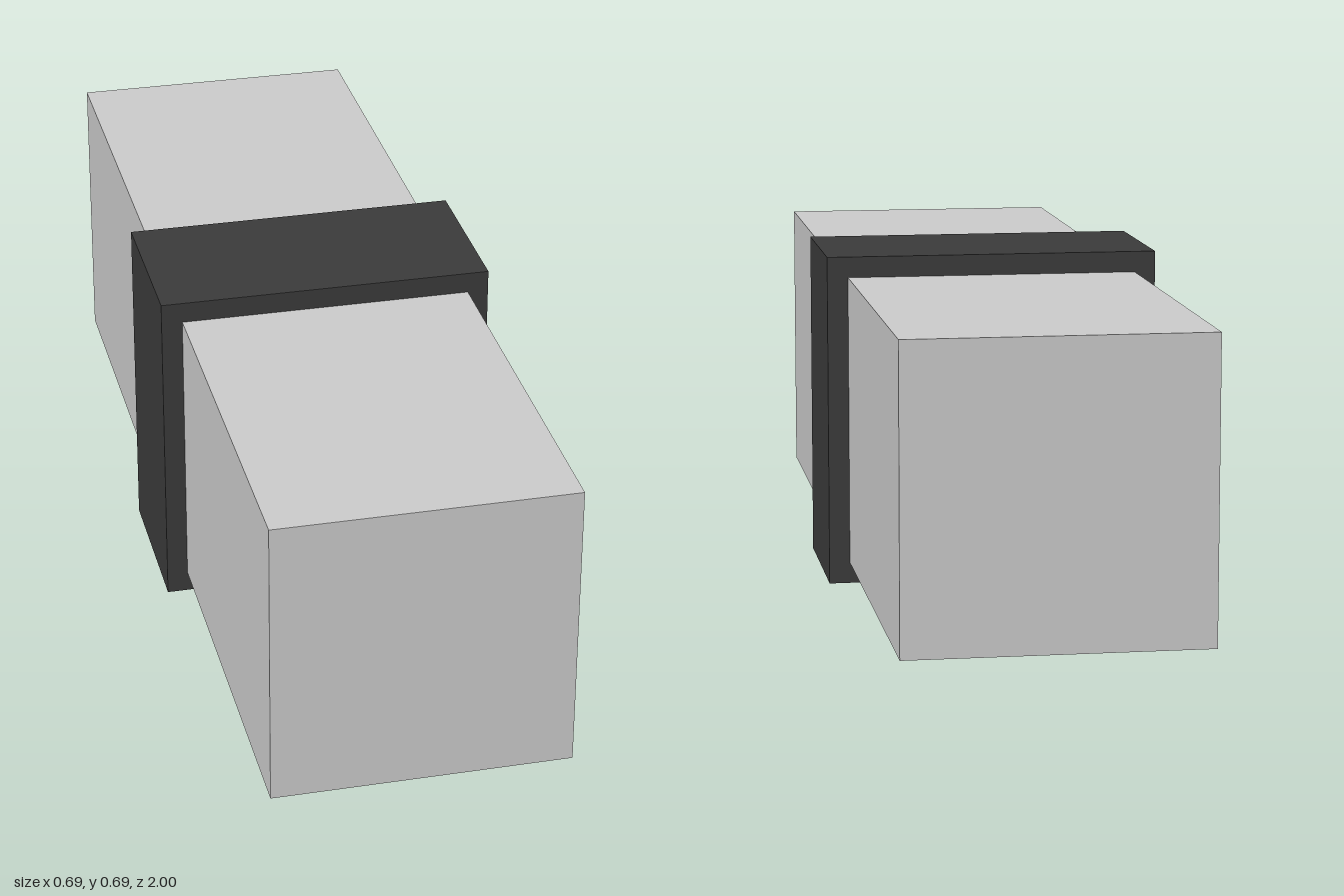
import * as THREE from 'three';

const CENTRE_Y = 0.344;

// Box centred on the long axis of the model
function box(name, width, height, depth, color) {
  const mesh = new THREE.Mesh(
    new THREE.BoxGeometry(width, height, depth),
    new THREE.MeshStandardMaterial({ color })
  );
  mesh.name = name;
  mesh.position.y = CENTRE_Y;
  return mesh;
}

export function createModel() {
  const model = new THREE.Group();
  model.name = 'bandedBar';

  // Long square bar running front to back
  model.add(box('bar', 0.602, 0.602, 2, 0xcccccc));

  // Dark band wrapped around the middle
  model.add(box('band', 0.688, 0.688, 0.344, 0x3b3b3b));

  return model;
}
